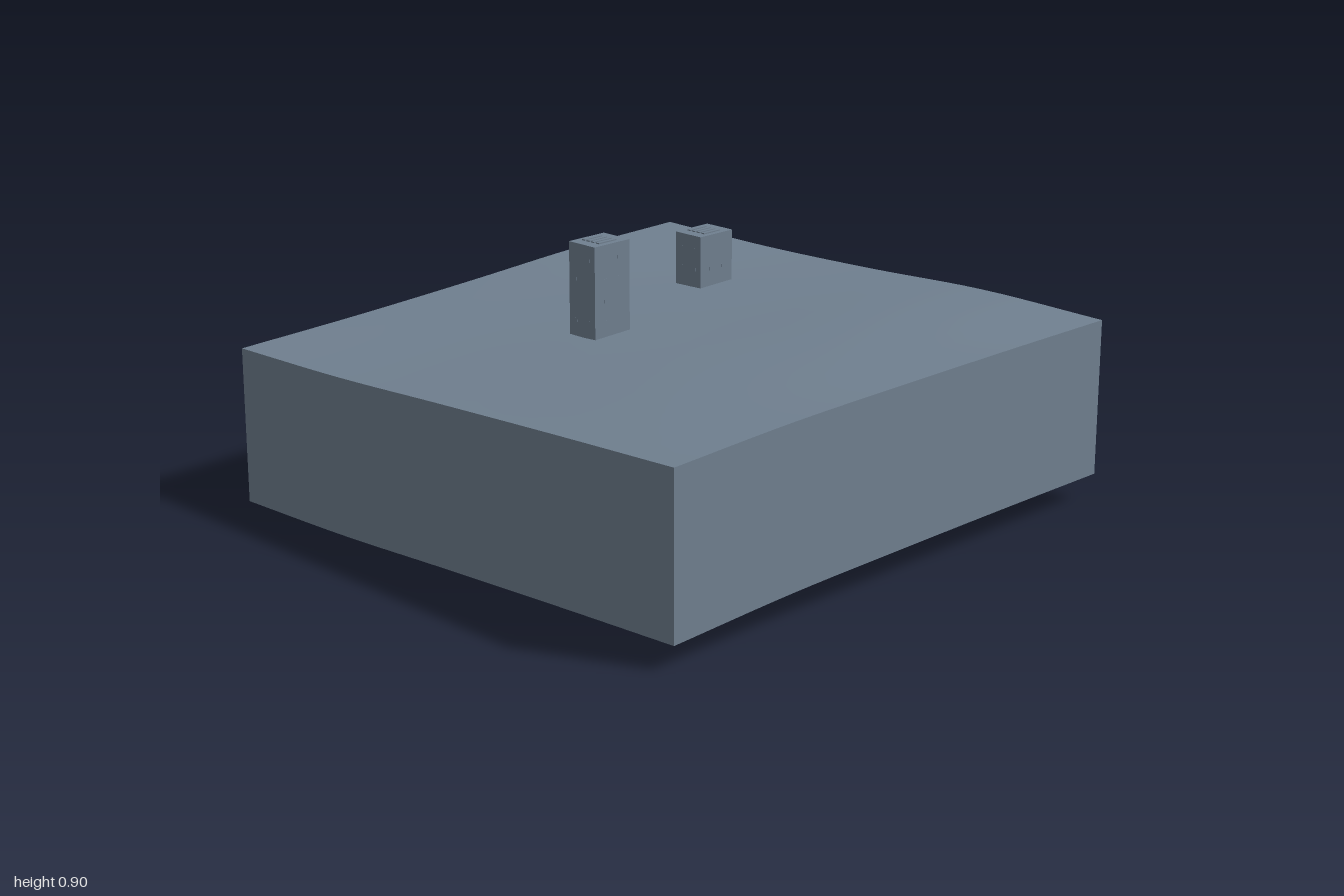
import * as THREE from 'three';

// Ground heights: rows run from the back (z = -1) to the front, columns from x = -1 to 1
const HEIGHTS = [
  [0.608, 0.604, 0.615, 0.635, 0.628],
  [0.598, 0.597, 0.612, 0.636, 0.632],
  [0.572, 0.580, 0.600, 0.625, 0.633],
  [0.550, 0.562, 0.588, 0.615, 0.631],
  [0.535, 0.547, 0.572, 0.595, 0.615],
];
const SKIRT = 0.535;
const SEGMENTS = 24;

// Smooth interpolation along a row of evenly spaced values, t from -1 to 1
function smooth(values, t) {
  const f = THREE.MathUtils.clamp((t + 1) * 2, 0, 4);
  const i = Math.min(3, Math.floor(f)), u = f - i;
  const b = values[i], c = values[i + 1];
  const a = i > 0 ? values[i - 1] : 2 * b - c;
  const d = i < 3 ? values[i + 2] : 2 * c - b;
  return b + 0.5 * u * (c - a + u * (2 * a - 5 * b + 4 * c - d + u * (3 * (b - c) + d - a)));
}
const groundHeight = (x, z) => smooth(HEIGHTS.map((row) => smooth(row, x)), z);

export function createModel() {
  const model = new THREE.Group();
  model.name = 'terrainTile';
  const slate = new THREE.MeshStandardMaterial({ color: 0x708090, side: THREE.DoubleSide });
  slate.name = 'slate grey';

  const add = (parent, geometry, name, x = 0, y = 0, z = 0) => {
    const mesh = new THREE.Mesh(geometry, slate);
    mesh.name = name;
    mesh.position.set(x, y, z);
    parent.add(mesh);
    return mesh;
  };

  // Rolling ground surface
  const ground = new THREE.PlaneGeometry(2, 2, SEGMENTS, SEGMENTS).rotateX(-Math.PI / 2);
  const g = ground.attributes.position;
  for (let i = 0; i < g.count; i++) g.setY(i, groundHeight(g.getX(i), g.getZ(i)));
  ground.computeVertexNormals();
  add(model, ground, 'ground');

  // Open-bottomed skirt: four walls hanging from the ground's edges
  ['frontSkirt', 'leftSkirt', 'backSkirt', 'rightSkirt'].forEach((name, k) => {
    const wall = new THREE.PlaneGeometry(2, 1, SEGMENTS, 1).translate(0, 0, 1).rotateY(k * Math.PI / 2);
    const p = wall.attributes.position;
    for (let i = 0; i < p.count; i++) {
      const top = groundHeight(p.getX(i), p.getZ(i));
      p.setY(i, p.getY(i) > 0 ? top : top - SKIRT);
    }
    add(model, wall, name);
  });

  // Towers with slatted roofs and small window plates
  const W = 0.12, D = 0.157;
  function tower(name, x, z, bottom, top) {
    const group = new THREE.Group();
    group.name = name;
    group.position.set(x, 0, z);
    model.add(group);
    add(group, new THREE.BoxGeometry(W, top - bottom, D), 'towerBlock', 0, (top + bottom) / 2, 0);
    for (let i = 0; i < 4; i++) {
      add(group, new THREE.BoxGeometry(0.014, 0.004, 0.08), 'roofSlat', (i - 1.5) * 0.022, top + 0.002, 0);
    }
    for (let y = top - 0.05; y > bottom + 0.05; y -= 0.07) {
      for (const s of [-1, 1]) {
        for (const t of [-0.03, 0.03]) {
          add(group, new THREE.BoxGeometry(0.01, 0.012, 0.001), 'window', t, y, s * D / 2);
          add(group, new THREE.BoxGeometry(0.001, 0.012, 0.01), 'window', s * W / 2, y, t);
        }
      }
    }
  }
  tower('tallTower', -0.17, 0.163, 0.586, 0.9);
  tower('shortTower', -0.337, -0.5, 0.595, 0.783);

  return model;
}
